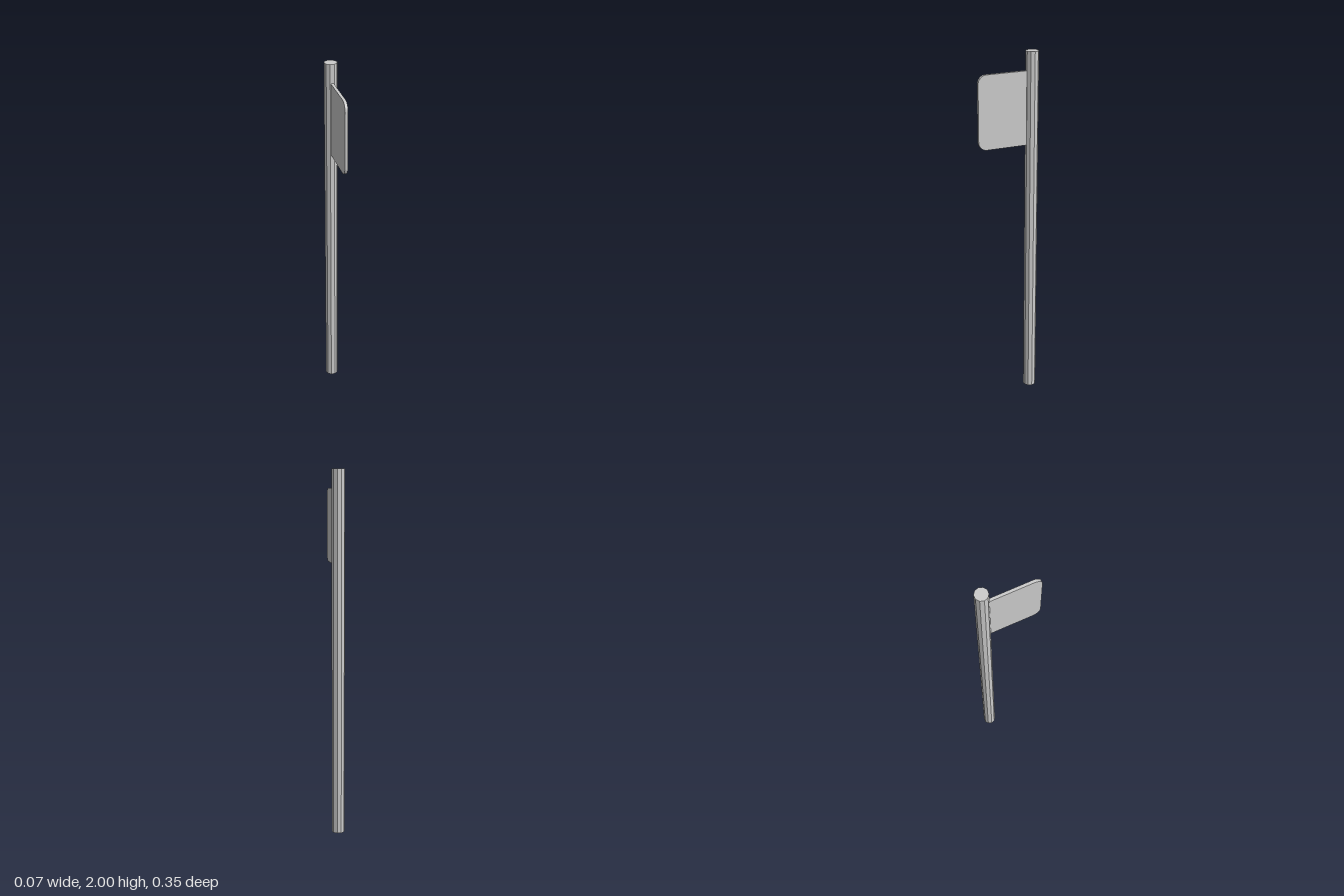
import * as THREE from 'three';
import { toCreasedNormals } from 'three/addons/utils/BufferGeometryUtils.js';

export function createModel() {
  const model = new THREE.Group();
  const poleZ = -0.139;

  // Ten-sided pole with flat faces towards front and back
  const pole = new THREE.Mesh(
    new THREE.CylinderGeometry(0.036, 0.036, 2, 10, 1, false, Math.PI / 2),
    new THREE.MeshStandardMaterial({ color: 0xcccccc, flatShading: true })
  );
  pole.name = 'pole';
  pole.position.set(0, 1, poleZ);
  model.add(pole);

  // Sign panel outline: square where it enters the pole, rounded at the free edge
  const back = 0.12, front = 0.173, bottom = 1.49, top = 1.896, r = 0.048;
  const outline = new THREE.Shape();
  outline.moveTo(-back, bottom);
  outline.lineTo(front - r, bottom);
  outline.absarc(front - r, bottom + r, r, -Math.PI / 2, 0, false);
  outline.lineTo(front, top - r);
  outline.absarc(front - r, top - r, r, 0, Math.PI / 2, false);
  outline.lineTo(-back, top);
  outline.closePath();

  // Thin plate turned so that it points forward from the pole
  const thickness = 0.016;
  const plate = new THREE.ExtrudeGeometry(outline, { depth: thickness, bevelEnabled: false, curveSegments: 8 });
  plate.translate(0, 0, -thickness / 2);
  plate.rotateY(-Math.PI / 2);
  const panel = new THREE.Mesh(
    toCreasedNormals(plate, 0.6),
    new THREE.MeshStandardMaterial({ color: 0xcccccc })
  );
  panel.name = 'signPanel';
  model.add(panel);

  return model;
}
